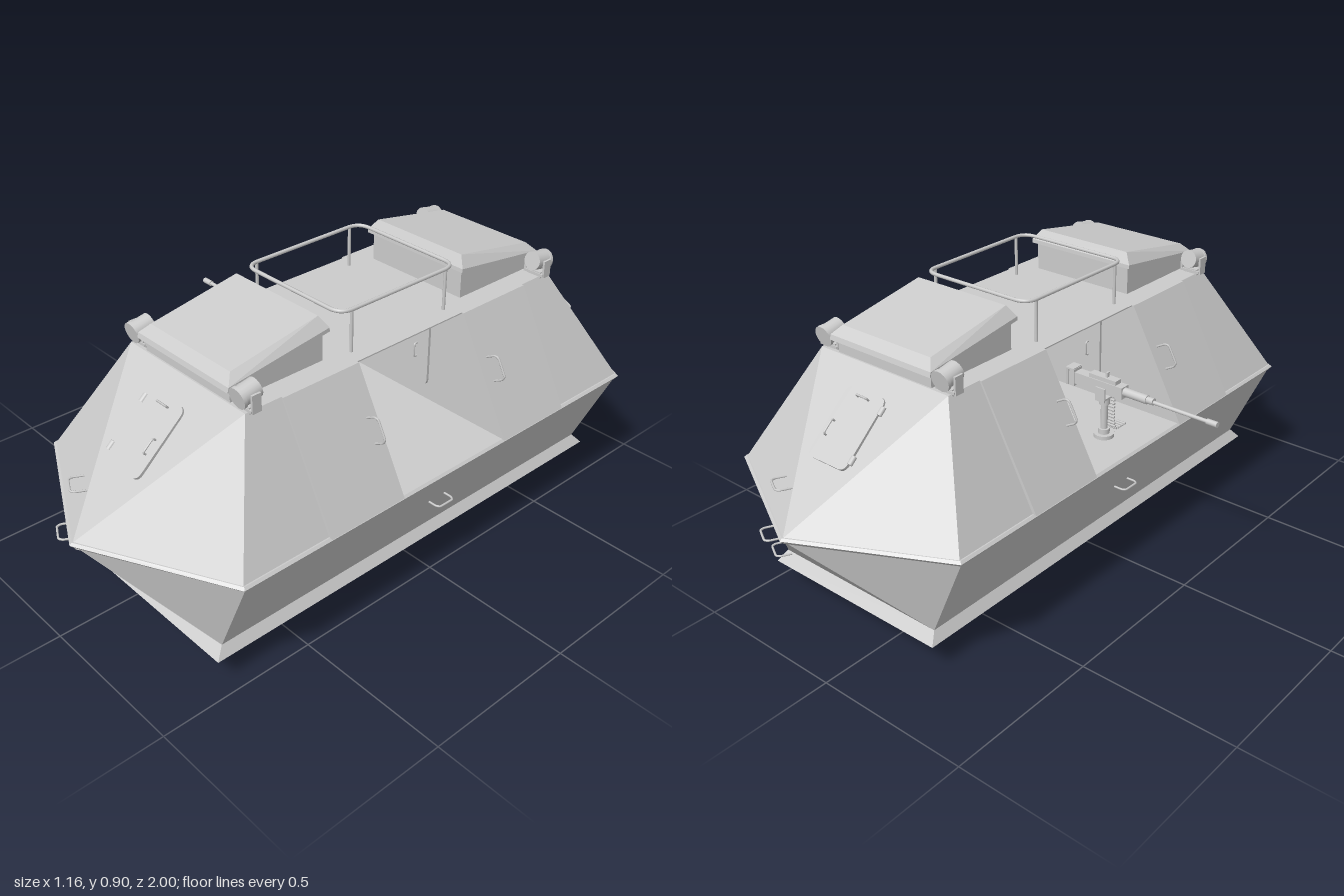
import * as THREE from 'three';
import { ConvexGeometry } from 'three/addons/geometries/ConvexGeometry.js';

const material = new THREE.MeshStandardMaterial({ color: 0xcccccc });
const V = (x, y, z) => new THREE.Vector3(x, y, z);

function add(parent, name, geometry, x = 0, y = 0, z = 0) {
  const mesh = new THREE.Mesh(geometry, material);
  mesh.name = name;
  mesh.position.set(x, y, z);
  parent.add(mesh);
  return mesh;
}

const box = (parent, name, size, pos) => add(parent, name, new THREE.BoxGeometry(...size), ...pos);

// Faceted solid around a few corner points
const solid = (parent, name, points) => add(parent, name, new ConvexGeometry(points));

// Corner points at +x and -x
const pair = (x, y, z) => [V(x, y, z), V(-x, y, z)];

// Four corners of a level rectangle
const rect = (x, y, z) => [...pair(x, y, z), ...pair(x, y, -z)];

// Pointed six-sided outline at one height
const outline = (x, y, z, nose) => [...rect(x, y, z), V(0, y, nose), V(0, y, -nose)];

// Cylinder lying along x, or along another axis
function rod(parent, name, radius, length, pos, axis = 'x', sides = 14) {
  const g = new THREE.CylinderGeometry(radius, radius, length, sides);
  if (axis === 'x') g.rotateZ(Math.PI / 2);
  if (axis === 'z') g.rotateX(Math.PI / 2);
  return add(parent, name, g, ...pos);
}

// Bent-bar handle standing out of a surface
function handle(parent, name, base, out, along, length = 0.07, depth = 0.04, radius = 0.0035) {
  const o = out.clone().normalize(), a = along.clone().normalize();
  const at = (s, d) => base.clone().addScaledVector(a, s * length / 2).addScaledVector(o, d);
  const path = new THREE.CatmullRomCurve3(
    [at(-1, -0.005), at(-1, depth * 0.7), at(-0.75, depth), at(0.75, depth), at(1, depth * 0.7), at(1, -0.005)],
    false, 'catmullrom', 0.15);
  return add(parent, name, new THREE.TubeGeometry(path, 30, radius, 6));
}

function roundedRect(w, h, r) {
  const s = new THREE.Shape(), x = w / 2, y = h / 2;
  s.moveTo(-x + r, -y).lineTo(x - r, -y).quadraticCurveTo(x, -y, x, -y + r);
  s.lineTo(x, y - r).quadraticCurveTo(x, y, x - r, y);
  s.lineTo(-x + r, y).quadraticCurveTo(-x, y, -x, y - r);
  s.lineTo(-x, -y + r).quadraticCurveTo(-x, -y, -x + r, -y);
  return s;
}

// Rounded door plate with hinges on one side and a latch on the other
function doorPlate(parent, name, w, h, side) {
  const door = new THREE.Group();
  door.name = name;
  parent.add(door);
  add(door, 'plate', new THREE.ExtrudeGeometry(roundedRect(w, h, 0.025),
    { depth: 0.01, bevelEnabled: false, curveSegments: 5 }));
  for (const y of [-0.34, 0.34]) {
    rod(door, 'hinge', 0.008, 0.026, [-side * (w / 2 + 0.004), y * h, 0.008], 'y', 10);
  }
  handle(door, 'latch', V(side * w * 0.33, -0.02, 0.01), V(0, 0, 1), V(0, 1, 0), 0.045, 0.012, 0.003);
  return door;
}

function headlamp(parent, x) {
  const lamp = new THREE.Group();
  lamp.name = 'headlamp';
  lamp.position.set(x, 0.8, 0.575);
  parent.add(lamp);
  const drum = new THREE.Group();
  drum.name = 'lampDrum';
  drum.rotation.x = 0.2;
  lamp.add(drum);
  rod(drum, 'lampBody', 0.029, 0.06, [0, 0.005, 0], 'z', 18);
  rod(drum, 'lampRim', 0.032, 0.01, [0, 0.005, 0.028], 'z', 18);
  box(lamp, 'bracketBase', [0.07, 0.008, 0.035], [0, -0.033, 0]);
  for (const s of [-1, 1]) box(lamp, 'bracketArm', [0.007, 0.055, 0.03], [s * 0.035, -0.012, 0]);
  box(lamp, 'bracketFoot', [0.05, 0.02, 0.03], [0, -0.035, 0]);
}

// One end cabin, pointing toward +z
function cabin(side) {
  const g = new THREE.Group();
  g.name = side > 0 ? 'frontCabin' : 'rearCabin';
  solid(g, 'cabinShell', [V(0, 0.41, 0.99), ...pair(0.435, 0.41, 0.77), ...pair(0.25, 0.76, 0.6),
    ...pair(0.435, 0.41, 0.21), ...pair(0.25, 0.76, 0.21)]);

  // Sloping side doors and their handles
  for (const s of [-1, 1]) {
    const corners = [];
    for (const z of [0.21, 0.48]) {
      corners.push(V(s * 0.447, 0.41, z), V(s * 0.257, 0.76, z), V(s * 0.42, 0.41, z), V(s * 0.23, 0.76, z));
    }
    solid(g, 'sideDoor', corners);
    handle(g, 'sideDoorHandle', V(s * 0.345, 0.598, 0.245), V(s * 0.88, 0.477, 0), V(-s * 0.477, 0.88, 0), 0.075, 0.045);
    headlamp(g, s * 0.23);
  }

  // Nose hatch
  const hatch = doorPlate(g, 'noseHatch', 0.15, 0.225, side);
  hatch.position.set(0, 0.635, 0.736);
  hatch.rotation.x = -0.85;
  handle(hatch, 'hatchHandle', V(0, 0.09, 0.01), V(0, 0, 1), V(1, 0, 0), 0.04, 0.014, 0.003);

  // Inner door facing the open middle
  const inner = doorPlate(g, 'innerDoor', 0.27, 0.27, 1);
  inner.position.set(0, 0.595, 0.211);
  inner.rotation.y = Math.PI;

  // Roof hood with an inclined, bevelled lid
  solid(g, 'hoodBase', [...pair(0.183, 0.755, 0.275), ...pair(0.183, 0.755, 0.595),
    ...pair(0.183, 0.85, 0.275), ...pair(0.183, 0.81, 0.595)]);
  solid(g, 'hoodLid', [...pair(0.197, 0.85, 0.262), ...pair(0.197, 0.8, 0.612), ...pair(0.197, 0.862, 0.263),
    ...pair(0.197, 0.815, 0.608), ...pair(0.172, 0.895, 0.282), ...pair(0.172, 0.842, 0.582)]);

  // Climbing rungs on one flank of the nose
  const rungs = [[-0.1, 0.495, 0.88], [-0.115, 0.35, 0.925], [-0.207, 0.21, 0.83]];
  for (const p of rungs) handle(g, 'noseRung', V(...p), V(-0.46, 0, 0.89), V(0.89, 0, 0.46));
  return g;
}

function machineGun() {
  const g = new THREE.Group();
  g.name = 'mountedGun';
  // Pedestal
  rod(g, 'pedestalBase', 0.032, 0.014, [0, 0.417, 0], 'y', 16);
  rod(g, 'pedestalCollar', 0.018, 0.02, [0, 0.43, 0], 'y', 16);
  rod(g, 'pedestalPost', 0.011, 0.12, [0, 0.48, 0], 'y', 12);
  rod(g, 'pivot', 0.017, 0.025, [0, 0.535, 0], 'y', 14);
  for (const s of [-1, 1]) box(g, 'cradleArm', [0.035, 0.045, 0.005], [0, 0.56, s * 0.022]);
  box(g, 'cradleBase', [0.035, 0.006, 0.045], [0, 0.545, 0]);
  // Receiver and grips
  box(g, 'receiver', [0.18, 0.038, 0.034], [0.015, 0.583, 0]);
  box(g, 'receiverCover', [0.1, 0.014, 0.028], [0.0, 0.608, 0]);
  box(g, 'backPlate', [0.01, 0.055, 0.04], [0.108, 0.583, 0]);
  for (const s of [-1, 1]) rod(g, 'grip', 0.005, 0.055, [0.13, 0.583, s * 0.017], 'y', 8);
  box(g, 'gripBridge', [0.03, 0.006, 0.04], [0.12, 0.61, 0]);
  rod(g, 'chargingHandle', 0.005, 0.03, [-0.03, 0.585, 0.028], 'z', 8);
  box(g, 'sight', [0.006, 0.02, 0.012], [-0.01, 0.62, 0]);
  // Barrel
  rod(g, 'barrelJacket', 0.014, 0.085, [-0.115, 0.585, 0]);
  rod(g, 'barrelCollar', 0.011, 0.03, [-0.165, 0.585, 0]);
  rod(g, 'barrel', 0.006, 0.23, [-0.26, 0.583, 0]);
  rod(g, 'muzzle', 0.009, 0.035, [-0.382, 0.583, 0]);
  // Cartridge belt hanging down to the deck
  const belt = new THREE.CatmullRomCurve3([V(0.01, 0.598, 0.015), V(0.01, 0.6, 0.034), V(0.01, 0.57, 0.042),
    V(0.01, 0.44, 0.044), V(0.01, 0.417, 0.055), V(0.01, 0.415, 0.1)]);
  for (const p of belt.getSpacedPoints(22)) rod(g, 'cartridge', 0.0038, 0.035, [p.x, p.y, p.z], 'x', 6);
  return g;
}

export function createModel() {
  const model = new THREE.Group();
  model.name = 'armouredCar';
  const body = new THREE.Group();
  body.name = 'body';
  body.position.x = 0.13;
  model.add(body);

  // Lower hull, belt rim with deck, and flared skirt
  solid(body, 'lowerHull', [...outline(0.435, 0.395, 0.765, 0.985), ...rect(0.31, 0.12, 0.755)]);
  solid(body, 'beltRim', [...outline(0.435, 0.392, 0.766, 0.988), ...outline(0.445, 0.405, 0.775, 1.0),
    ...outline(0.438, 0.412, 0.77, 0.993)]);
  solid(body, 'skirt', [...rect(0.31, 0.122, 0.755), ...rect(0.33, 0.088, 0.785)]);

  // Wheels showing below the skirt
  for (const x of [-0.21, 0.21]) {
    for (const z of [-0.525, 0, 0.525]) rod(body, 'wheel', 0.127, 0.03, [x, 0.127, z], 'x', 16).material = wheelMaterial;
  }

  // Matching cabins at both ends, roof bridging the open middle
  const rear = cabin(-1);
  rear.rotation.y = Math.PI;
  body.add(cabin(1), rear);
  box(body, 'middleRoof', [0.5, 0.004, 0.43], [0, 0.758, 0]);

  // Roof rail: rounded loop on four posts
  const loop = roundedRect(0.4, 0.45, 0.045).getPoints(6).map(p => V(p.x, 0.89, p.y));
  loop.pop();
  const rail = new THREE.CatmullRomCurve3(loop, true, 'catmullrom', 0.05);
  add(body, 'roofRail', new THREE.TubeGeometry(rail, 160, 0.006, 8, true));
  for (const p of rect(0.2, 0.825, 0.185)) rod(body, 'railPost', 0.005, 0.13, [p.x, p.y, p.z], 'y', 8);

  // Rungs on the hull sides
  for (const s of [-1, 1]) handle(body, 'sideRung', V(s * 0.378, 0.272, 0), V(s, 0, 0), V(0, 0, 1), 0.065, 0.04);

  const gun = machineGun();
  gun.position.x = -0.18;
  model.add(gun);
  return model;
}

const wheelMaterial = new THREE.MeshStandardMaterial({ color: 0xcccccc, flatShading: true });
